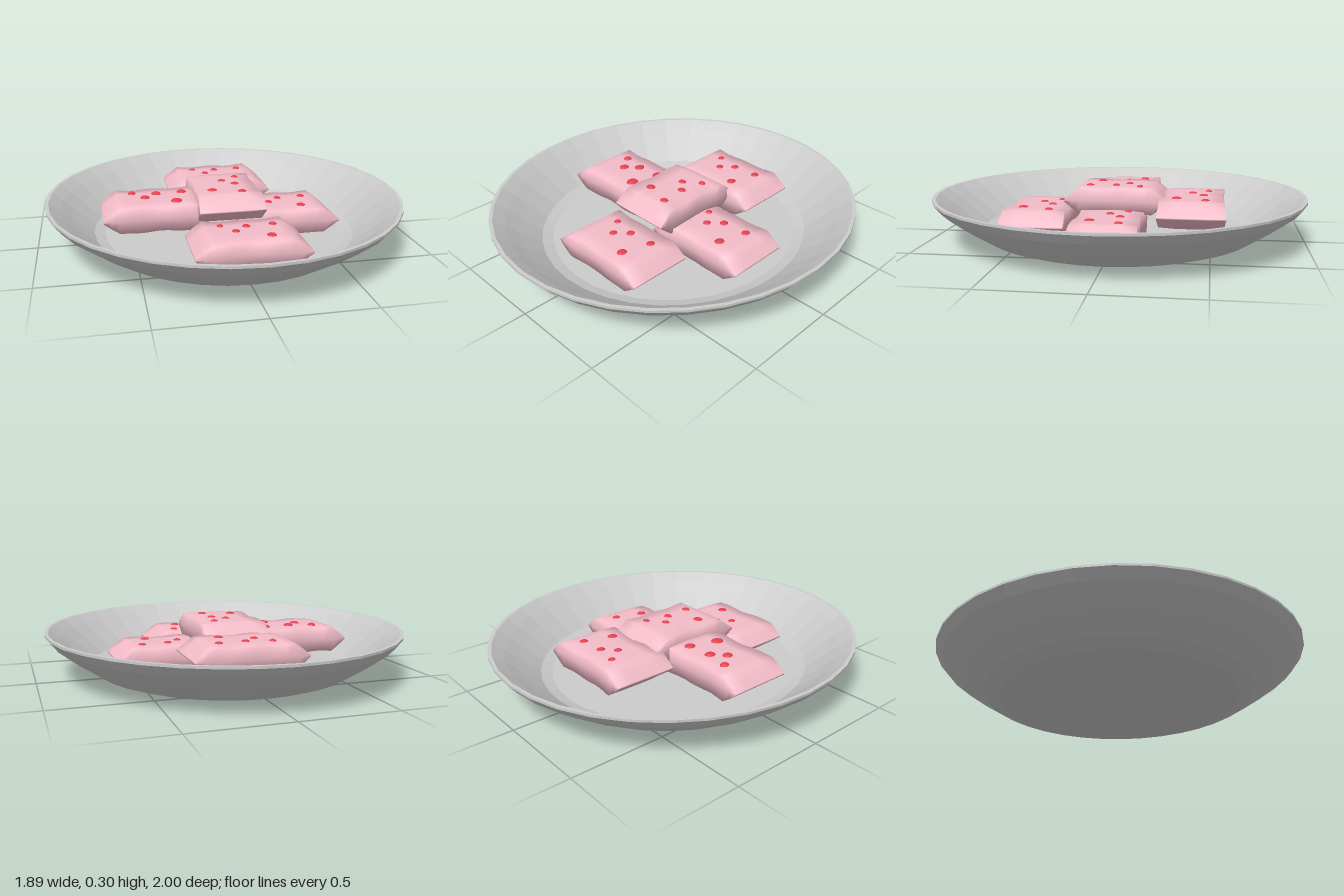
import * as THREE from 'three';
import { mergeVertices } from 'three/addons/utils/BufferGeometryUtils.js';

const LENGTH = 0.58, WIDTH = 0.34, HALF_H = 0.07;

// Height of the pillow section: flat in the middle, straight taper to a thin tip
function halfHeight(x) {
  const t = Math.min(1, (LENGTH / 2 - Math.abs(x)) / 0.08);
  return 0.004 + (HALF_H - 0.004) * t;
}

// Pillow-shaped slab with a pinched waist and wavy sides, smooth all round
function pillowGeometry() {
  const geo = new THREE.BoxGeometry(LENGTH, 2, WIDTH, 14, 2, 4);
  geo.deleteAttribute('uv');
  geo.deleteAttribute('normal');
  const p = geo.attributes.position;
  for (let i = 0; i < p.count; i++) {
    const x = p.getX(i), y = p.getY(i), z = p.getZ(i);
    const u = x / (LENGTH / 2);
    const waist = 1.01 - 0.06 * Math.cos(u * Math.PI / 2) ** 2 + 0.015 * Math.sin(u * 7);
    const edge = Math.abs(z) / (WIDTH / 2);
    const sag = 1 - 0.06 * edge ** 4 * (1 + Math.sin(u * 8 + z * 6));
    p.setXYZ(i, x, y * halfHeight(x) * sag, z * waist);
  }
  const smooth = mergeVertices(geo, 1e-5);
  smooth.computeVertexNormals();
  return smooth;
}

export function createModel() {
  const model = new THREE.Group();
  const grey = new THREE.MeshStandardMaterial({ color: 0xcccccc, flatShading: true });
  const pink = new THREE.MeshStandardMaterial({ color: 0xf2bcc8 });
  const red = new THREE.MeshStandardMaterial({ color: 0xe6404f });

  // Shallow oval dish: outer wall, rim, inner wall, floor
  const profile = [
    [0, 0], [0.645, 0.003], [0.73, 0.032], [0.85, 0.108], [0.96, 0.188], [1, 0.235], [1, 0.247],
    [0.981, 0.247], [0.92, 0.203], [0.86, 0.155], [0.74, 0.064], [0.68, 0.047], [0, 0.045],
  ].map(([r, y]) => new THREE.Vector2(r, y));
  const dish = new THREE.Mesh(new THREE.LatheGeometry(profile, 36), grey);
  dish.name = 'dish';
  dish.scale.x = 0.947;
  model.add(dish);

  // Sweets, each with five berry dots on top
  const slab = pillowGeometry();
  const dot = new THREE.SphereGeometry(1, 14, 10);
  const dots = [
    [-0.125, -0.085, 0.018], [0.005, -0.06, 0.022], [-0.06, 0, 0.021],
    [0.145, -0.07, 0.022], [0.1, 0.08, 0.025],
  ];

  function addSweet(name, x, y, z, dotScale = 1, turn = 0, stretch = 1) {
    const sweet = new THREE.Group();
    sweet.name = name;
    const body = new THREE.Mesh(slab, pink);
    body.name = 'sweetBody';
    body.scale.x = stretch;
    sweet.add(body);
    for (const [dx, dz, r] of dots) {
      const berry = new THREE.Mesh(dot, red);
      berry.name = 'berryDot';
      berry.position.set(dx, HALF_H - 0.004, dz);
      berry.scale.set(r * dotScale, 0.012 * dotScale, r * 1.12 * dotScale);
      sweet.add(berry);
    }
    sweet.position.set(x, y, z);
    sweet.rotation.y = turn;
    model.add(sweet);
  }

  addSweet('backSweet', 0.03, 0.176, -0.4);
  addSweet('frontSweet', 0.04, 0.11, 0.423);
  addSweet('leftSweet', 0.315, 0.11, 0.013);
  addSweet('rightSweet', -0.365, 0.17, -0.01, 1.25);
  addSweet('topSweet', 0.002, 0.226, 0.002, 1, -Math.PI / 2, 0.93);

  return model;
}
